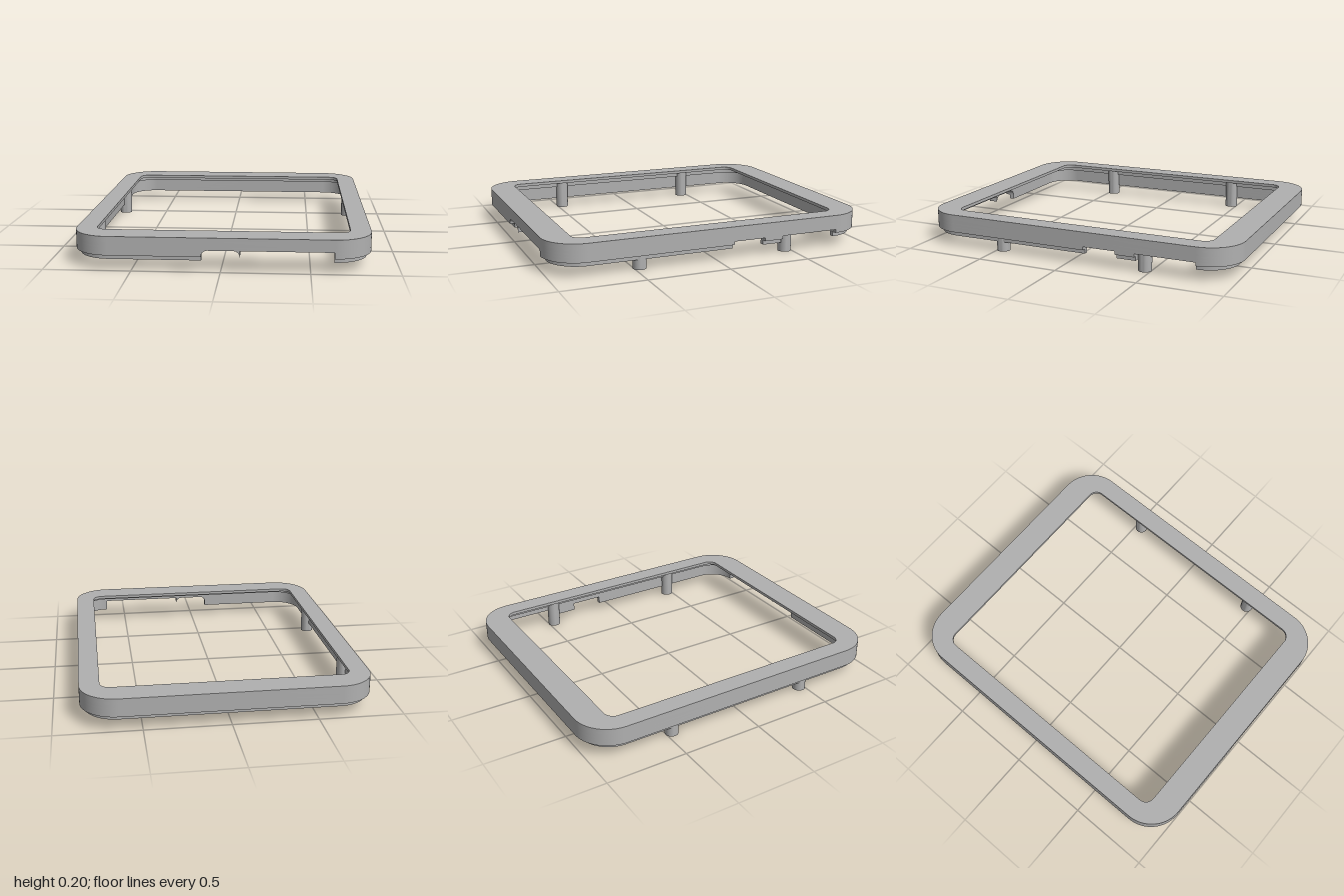
import * as THREE from 'three';
import { toCreasedNormals } from 'three/addons/utils/BufferGeometryUtils.js';

const grey = new THREE.MeshStandardMaterial({ color: 0xb0b0b0 });
grey.name = 'grey plastic';

// Rounded outlines: half width, half depth, corner radius
const OUTER = [0.845, 1.0, 0.215];
const LIP = [0.82, 0.97, 0.19];
const INNER = [0.79, 0.94, 0.16];
const LEDGE = [0.772, 0.922, 0.142];
const OPENING = [0.727, 0.833, 0.06];

// Outline running counter-clockwise past the listed corners
// (0 front +x, 1 back +x, 2 back -x, 3 front -x)
function outline([w, d, r], corners, start, end) {
  const path = new THREE.Path();
  const at = p => (p.front !== undefined ? [p.front, -d] : [w, p.side]);
  if (start) path.moveTo(...at(start));
  for (const i of corners) {
    const sx = i < 2 ? 1 : -1, sy = i === 1 || i === 2 ? 1 : -1;
    const a = (i - 1) * Math.PI / 2;
    path.absarc(sx * (w - r), sy * (d - r), r, a, a + Math.PI / 2, false);
  }
  if (end) path.lineTo(...at(end));
  return path.getPoints(14);
}

function slab(name, shape, y0, y1) {
  let geo = new THREE.ExtrudeGeometry(shape, { depth: y1 - y0, bevelEnabled: false });
  geo.rotateX(-Math.PI / 2).translate(0, y0, 0);
  geo = toCreasedNormals(geo, 0.5);
  const mesh = new THREE.Mesh(geo, grey);
  mesh.name = name;
  return mesh;
}

function ring(name, outer, inner, y0, y1) {
  const shape = new THREE.Shape(outline(outer, [0, 1, 2, 3]));
  shape.holes.push(new THREE.Path(outline(inner, [0, 1, 2, 3])));
  return slab(name, shape, y0, y1);
}

// A stretch of wall between two cut-outs
function wall(name, outer, inner, [corners, start, end], y0, y1) {
  const pts = [...outline(outer, corners, start, end), ...outline(inner, corners, start, end).reverse()];
  return slab(name, new THREE.Shape(pts), y0, y1);
}

export function createModel() {
  const model = new THREE.Group();
  model.name = 'bezelFrame';
  const notch = 0.108;

  // Face plate and closed part of the wall
  model.add(ring('facePlate', OUTER, OPENING, 0.178, 0.197));
  model.add(ring('innerLedge', OUTER, LEDGE, 0.145, 0.178));
  model.add(ring('upperWall', OUTER, INNER, 0.125, 0.145));

  // Wall interrupted by the front notch only
  model.add(wall('notchedWall', OUTER, INNER, [[0, 1, 2, 3], { front: notch }, { front: -notch }], 0.108, 0.125));

  // Wall and stepped lip, interrupted by the notch and two side slots
  const stretches = [
    [[0], { front: notch }, { side: 0.10 }],
    [[], { side: 0.30 }, { side: 0.42 }],
    [[1, 2, 3], { side: 0.69 }, { front: -notch }],
  ];
  for (const s of stretches) {
    model.add(wall('lowerWall', OUTER, INNER, s, 0.088, 0.108));
    model.add(wall('bottomLip', LIP, INNER, s, 0.06, 0.088));
  }

  // Rounded upper corners of the front notch
  const r = 0.036;
  for (const s of [-1, 1]) {
    const fillet = new THREE.Shape();
    fillet.moveTo(s * notch, 0.125);
    fillet.lineTo(s * notch, 0.125 - r);
    fillet.absarc(s * (notch - r), 0.125 - r, r, s > 0 ? 0 : Math.PI, Math.PI / 2, s < 0);
    const geo = new THREE.ExtrudeGeometry(fillet, { depth: 0.06, bevelEnabled: false });
    const mesh = new THREE.Mesh(toCreasedNormals(geo.translate(0, 0, 0.94), 0.5), grey);
    mesh.name = 'notchCorner';
    model.add(mesh);
  }

  // Screw posts with blind holes in their feet
  const profile = [[0, 0.1], [0.018, 0.1], [0.018, 0], [0.04, 0], [0.04, 0.18]]
    .map(([x, y]) => new THREE.Vector2(x, y));
  const postGeo = toCreasedNormals(new THREE.LatheGeometry(profile, 28), 0.5);
  for (const x of [-0.785, 0.785]) {
    for (const z of [0.467, -0.463]) {
      const post = new THREE.Mesh(postGeo, grey);
      post.name = 'screwPost';
      post.position.set(x, 0, z);
      model.add(post);
    }
  }
  return model;
}
